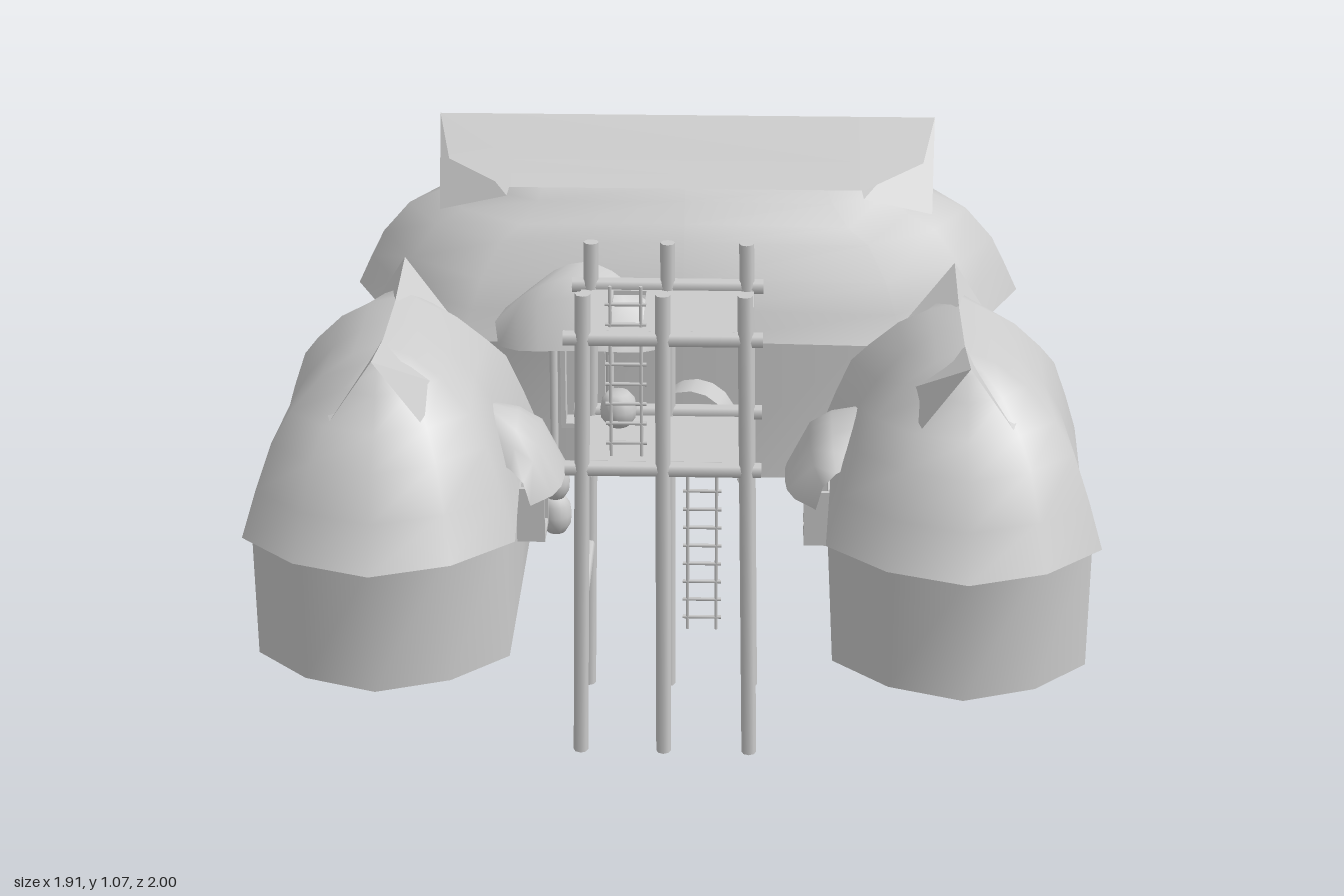
import * as THREE from 'three';

const mat = new THREE.MeshStandardMaterial({ color: 0xcccccc, side: THREE.DoubleSide });
const V = (x, y, z) => new THREE.Vector3(x, y, z);

function add(parent, geo, name, x = 0, y = 0, z = 0) {
  const m = new THREE.Mesh(geo, mat);
  m.name = name;
  m.position.set(x, y, z);
  parent.add(m);
  return m;
}

// Surface through rows of points; closed rows wrap around
function surface(rows, closed) {
  const n = rows[0].length, pos = [], idx = [];
  rows.forEach(r => r.forEach(p => pos.push(p.x, p.y, p.z)));
  for (let j = 0; j < rows.length - 1; j++) {
    for (let i = 0; i < (closed ? n : n - 1); i++) {
      const a = j * n + i, b = j * n + (i + 1) % n, c = a + n, d = b + n;
      idx.push(a, c, b, b, c, d);
    }
  }
  const g = new THREE.BufferGeometry();
  g.setAttribute('position', new THREE.Float32BufferAttribute(pos, 3));
  g.setIndex(idx);
  g.computeVertexNormals();
  return g;
}

// Long twelve-sided outline with pointed ends
function ring([y, l, w], mid) {
  const q = [[1, 0], [0.88, 0.57], [0.64, 1], [0, mid], [-0.64, 1], [-0.88, 0.57]];
  return [...q, ...q.map(([x, z]) => [-x, -z])].map(([x, z]) => V(x * l, y, z * w));
}

// Round pole between two points
function pole(parent, name, a, b, r, sides = 8) {
  const d = b.clone().sub(a);
  const m = add(parent, new THREE.CylinderGeometry(r, r, d.length(), sides), name);
  m.position.copy(a).addScaledVector(d, 0.5);
  m.quaternion.setFromUnitVectors(V(0, 1, 0), d.normalize());
}

// Open gable at both ends of the ridge
function gables(parent, { apex, base, ridge, inner }) {
  for (const s of [1, -1]) {
    const row = (a, b) => [V(s * b[0], b[1], -b[2]), V(s * a[0], a[1], 0), V(s * b[0], b[1], b[2])];
    const g = surface([row(ridge, inner), row(apex, base)], false).toNonIndexed();
    g.computeVertexNormals();
    add(parent, g, 'gable');
  }
}

// Shield-shaped canopy above the door, bulging out along +z
function canopy(parent, x, eave, z, width) {
  const sections = [[0, 0.19, 0.09, 0.09, 0], [0.06, 0.175, 0.12, 0.09, 0.01],
    [0.11, 0.14, 0.135, 0.08, 0.03], [0.165, 0.02, 0.13, 0.02, 0.07], [0.03, 0.0, 0.11, 0, 0]];
  const rows = sections.map(([out, top, hw, drop, back]) => {
    const r = [];
    for (let i = -4; i <= 4; i++) {
      const t = i / 4;
      r.push(V(x + t * hw * width, eave + top - drop * t * t, z + out - back * t ** 4));
    }
    return r;
  });
  add(parent, surface(rows.slice(0, 4), false), 'doorCanopy');
}

// Door frame standing out from the wall, with two leaning props
function doorway(parent, x, eave, z) {
  const h = eave - 0.23;
  for (const s of [-1, 1]) {
    add(parent, new THREE.BoxGeometry(0.012, h, 0.07), 'doorSide', x + s * 0.05, 0.23 + h / 2, z + 0.03);
  }
  add(parent, new THREE.BoxGeometry(0.11, 0.012, 0.07), 'doorShelf', x, 0.23, z + 0.03);
  add(parent, new THREE.BoxGeometry(0.1, h, 0.01), 'doorPanel', x, 0.23 + h / 2, z + 0.005);
}

function hut(name, o) {
  const g = new THREE.Group();
  g.name = name;
  const [eave] = o.roof[0];
  add(g, surface([ring([0.062, ...o.wall], 1), ring([eave + 0.01, ...o.wall], 1)], true), 'wall');
  add(g, surface(o.roof.map(r => ring(r, 0.95)), true), 'thatchRoof');
  gables(g, o.gable);
  canopy(g, o.doorX, eave, o.canopyZ, o.canopyWidth);
  doorway(g, o.doorX, eave, o.wall[1]);
  return g;
}

function ladder(parent, x, y0, y1, z) {
  const g = new THREE.Group();
  g.name = 'ladder';
  for (const s of [-1, 1]) pole(g, 'ladderRail', V(x + s * 0.032, y0, z), V(x + s * 0.032, y1, z), 0.004, 6);
  for (let y = y0 + 0.03; y < y1 - 0.01; y += 0.045) {
    pole(g, 'ladderRung', V(x - 0.043, y, z), V(x + 0.043, y, z), 0.004, 6);
  }
  parent.add(g);
}

function platform(y, hole) {
  const s = new THREE.Shape([[-0.19, -0.98], [0.18, -0.98], [0.18, -0.68], [-0.19, -0.68]]
    .map(p => new THREE.Vector2(...p)));
  if (hole) {
    s.holes.push(new THREE.Path([[-0.12, -0.9], [-0.12, -0.7], [-0.05, -0.7], [-0.05, -0.9]]
      .map(p => new THREE.Vector2(...p))));
  }
  const g = new THREE.ExtrudeGeometry(s, { depth: 0.01, bevelEnabled: false });
  g.rotateX(-Math.PI / 2).translate(0, y, 0);
  return g;
}

function pot(parent, name, r, h, x, y, z) {
  const p = [[0, 0], [0.6, 0], [0.95, 0.25], [1, 0.5], [0.9, 0.8], [0.6, 1], [0, 1]]
    .map(([a, b]) => new THREE.Vector2(a * r, b * h));
  add(parent, new THREE.LatheGeometry(p, 14), name, x, y, z);
}

function watchtower() {
  const g = new THREE.Group();
  g.name = 'watchtower';
  for (const z of [0.685, 0.98]) {
    for (const x of [-0.175, -0.005, 0.17]) {
      pole(g, 'towerPost', V(x * 1.06, 0, z), V(x * 0.96, 1.07, z), 0.016);
    }
    for (const y of [0.675, 0.97]) pole(g, 'crossBeam', V(-0.21, y, z - 0.005), V(0.2, y, z - 0.005), 0.017);
  }
  for (const y of [0.655, 0.95]) {
    for (const x of [-0.17, 0.165]) pole(g, 'sideBeam', V(x, y, 0.68), V(x, y, 0.98), 0.015);
  }
  pole(g, 'lowBrace', V(-0.18, 0.355, 0.68), V(-0.18, 0.355, 0.98), 0.013);
  add(g, platform(0.66, false), 'lowerPlatform');
  add(g, platform(0.955, true), 'upperPlatform');
  ladder(g, 0.07, 0.13, 0.66, 0.665);
  ladder(g, -0.085, 0.67, 1.055, 0.9);
  pot(g, 'platformPot', 0.04, 0.075, -0.11, 0.67, 0.74);
  return g;
}

export function createModel() {
  const model = new THREE.Group();

  // Pair of facing huts
  for (const s of [1, -1]) {
    const h = hut(s > 0 ? 'leftHut' : 'rightHut', {
      wall: [0.48, 0.285],
      roof: [[0.36, 0.505, 0.305], [0.46, 0.45, 0.275], [0.56, 0.4, 0.24], [0.62, 0.33, 0.2],
        [0.69, 0.28, 0.135], [0.735, 0.24, 0.065], [0.755, 0.22, 0]],
      gable: { apex: [0.315, 0.787], base: [0.295, 0.635, 0.1], ridge: [0.12, 0.757], inner: [0.17, 0.67, 0.14] },
      doorX: 0, canopyZ: 0.23, canopyWidth: 1.1,
    });
    h.position.set(s * 0.65, 0, 0.375);
    h.rotation.y = -s * Math.PI / 2;
    model.add(h);
  }

  // Long house at the back with a ridge cap
  const house = hut('longHouse', {
    wall: [0.79, 0.335],
    roof: [[0.455, 0.86, 0.395], [0.53, 0.825, 0.365], [0.6, 0.79, 0.335], [0.68, 0.72, 0.28],
      [0.715, 0.64, 0.25], [0.76, 0.58, 0.2], [0.79, 0.56, 0.18], [0.912, 0.55, 0]],
    gable: { apex: [0.632, 0.922], base: [0.625, 0.715, 0.145], ridge: [0.4, 0.917], inner: [0.45, 0.77, 0.19] },
    doorX: -0.25, canopyZ: 0.325, canopyWidth: 1.6,
  });
  const capRow = (x, y, z, tip) => [V(-x - tip, y, z), V(-0.44, y, z), V(0.44, y, z), V(x + tip, y, z)];
  for (const s of [1, -1]) {
    add(house, surface([capRow(0.44, 0.793, s * 0.19, 0.01), capRow(0.58, 0.842, s * 0.118, 0.02),
      capRow(0.632, 0.924, 0, 0)], false), 'ridgeCap');
    pole(house, 'doorProp', V(-0.25 + s * 0.07, 0.165, 0.455), V(-0.25 + s * 0.07, 0.46, 0.425), 0.01);
  }
  house.position.z = -0.605;
  model.add(house);

  // Small arched shelter by the long house
  const arch = add(model, new THREE.CylinderGeometry(0.1, 0.1, 0.08, 8, 1, true, -Math.PI / 2, Math.PI),
    'archedShelter', 0.03, 0.24, -0.22);
  arch.rotation.set(-Math.PI / 2, 0, -0.2);

  // Stacked jars beside the right hut
  pot(model, 'lowerJar', 0.038, 0.09, -0.29, 0.15, 0.22);
  pot(model, 'upperJar', 0.035, 0.08, -0.29, 0.24, 0.22);

  model.add(watchtower());
  return model;
}
